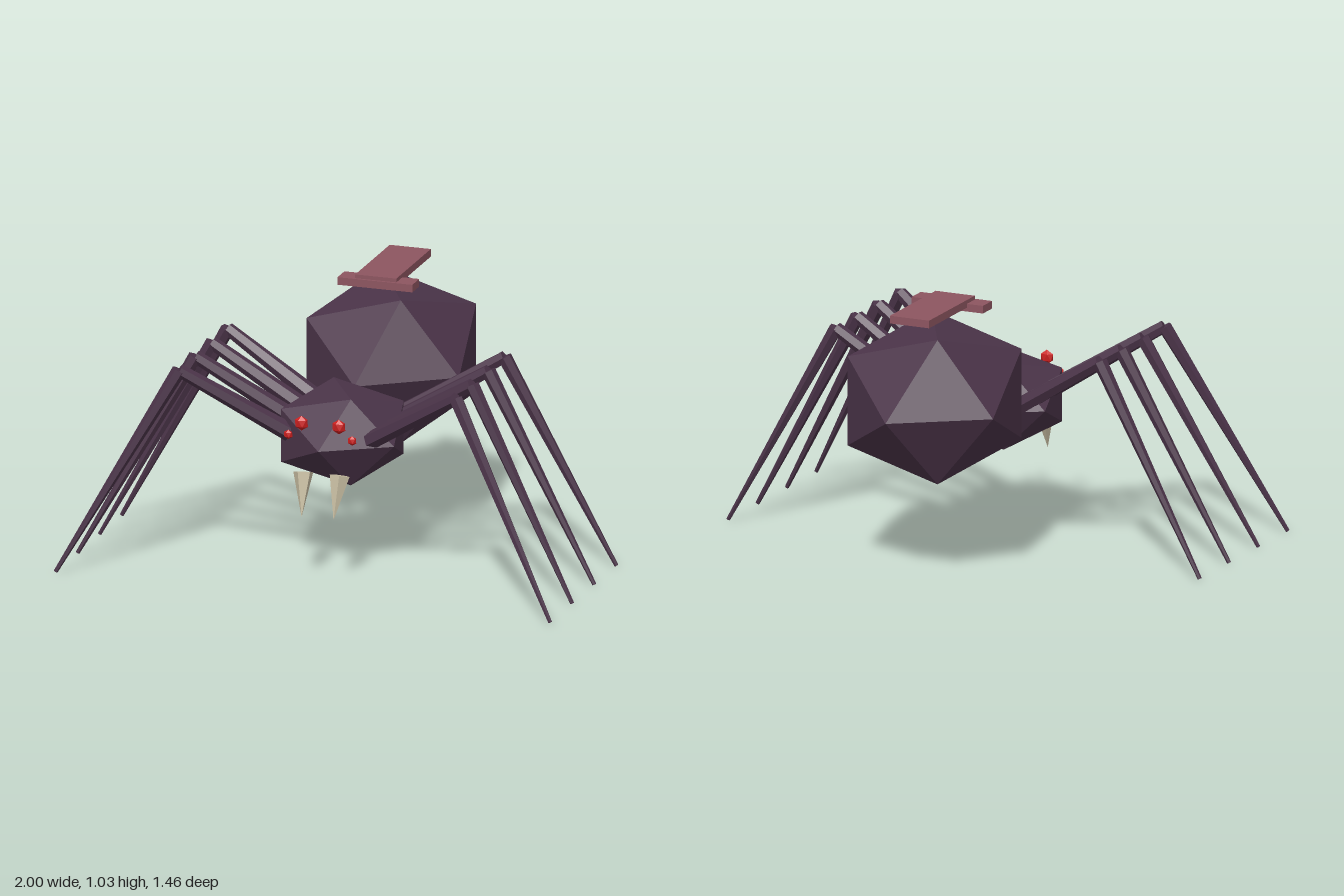
import * as THREE from 'three';

const flat = (name, color) => {
  const m = new THREE.MeshStandardMaterial({ color });
  m.name = name;
  m.flatShading = true;
  return m;
};

export function createModel() {
  const group = new THREE.Group();
  const body = flat('dark plum', 0x4b3449);
  const red = flat('eye red', 0xcc2020);
  const ivory = flat('fang ivory', 0xcdc2a6);
  const rose = flat('dusty rose', 0x8d5560);

  const add = (name, geo, mat, parent = group) => {
    const mesh = new THREE.Mesh(geo, mat);
    mesh.name = name;
    parent.add(mesh);
    return mesh;
  };

  // Icosahedron with its poles on z and a front ring corner on +x
  const icosa = () => new THREE.IcosahedronGeometry(1, 0)
    .rotateX(Math.atan2(2, 1 + Math.sqrt(5))).rotateZ(Math.PI / 2);

  // Tapered rod between two points
  const rod = (a, b, ra, rb, sides) => {
    const from = new THREE.Vector3(...a), to = new THREE.Vector3(...b);
    const dir = to.clone().sub(from);
    const q = new THREE.Quaternion().setFromUnitVectors(new THREE.Vector3(0, 1, 0), dir.clone().normalize());
    const mid = from.add(to).multiplyScalar(0.5);
    return new THREE.CylinderGeometry(rb, ra, dir.length(), sides)
      .applyQuaternion(q).translate(mid.x, mid.y, mid.z);
  };

  // Body
  add('abdomen', icosa().scale(0.378, 0.333, 0.43).translate(0, 0.666, -0.3), body);
  add('head', icosa().scale(0.28, 0.2, 0.28).translate(0, 0.53, 0.268), body);

  // Floating back marking: long plate over a cross plate
  add('backPlate', new THREE.BoxGeometry(0.165, 0.03, 0.4).translate(0, 1.015, -0.32), rose);
  add('crossPlate', new THREE.BoxGeometry(0.3, 0.03, 0.08).translate(0, 1.0, -0.15), rose);

  for (const [side, s] of [['left', 1], ['right', -1]]) {
    // Eyes, flattened front to back
    for (const [name, x, y, r] of [['InnerEye', 0.075, 0.63, 0.029], ['OuterEye', 0.128, 0.58, 0.019]]) {
      add(side + name, icosa().rotateX(Math.PI / 2).scale(r, r, r * 0.6).translate(s * x, y, 0.525), red);
    }

    // Fang
    add(side + 'Fang', rod([s * 0.073, 0.432, 0.508], [s * 0.064, 0.267, 0.555], 0.04, 0, 5), ivory);

    // Four legs fanned from front to back
    for (let i = 0; i < 4; i++) {
      const leg = new THREE.Group();
      leg.name = side + 'Leg' + (i + 1);
      group.add(leg);
      const hip = [s * 0.16, 0.55, 0.41 - i * 0.13];
      const knee = [s * 0.555, 0.8, 0.555 - i * 0.188];
      const foot = [s * 0.992, 0.006, 0.725 - i * 0.256];
      add('upperLeg', rod(hip, knee, 0.036, 0.025, 6), body, leg);
      add('lowerLeg', rod(knee, foot, 0.028, 0.008, 6), body, leg);
    }
  }
  return group;
}
